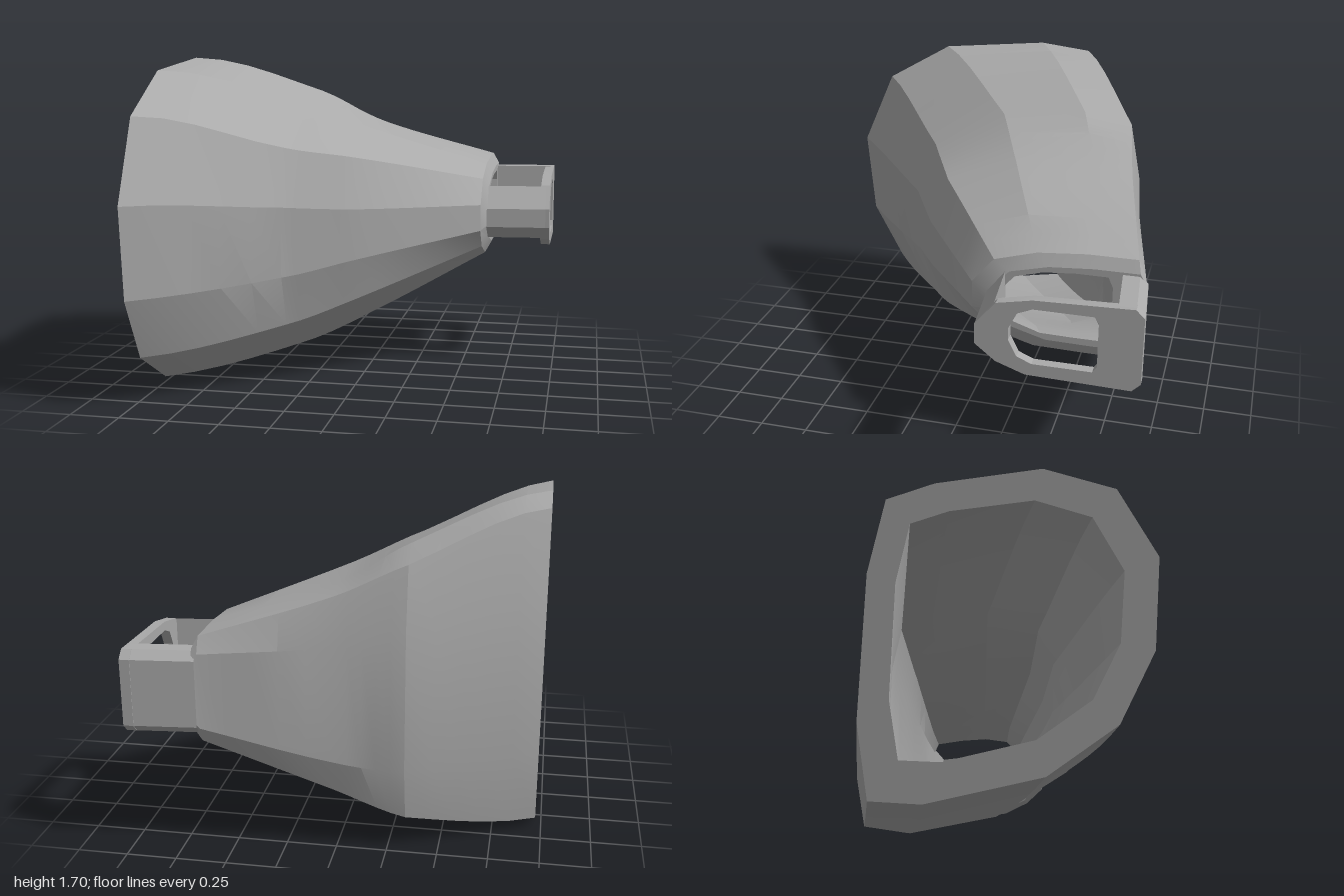
import * as THREE from 'three';
import { toCreasedNormals } from 'three/addons/utils/BufferGeometryUtils.js';

// Joins rings of [x, y, z] points into a skin; rings run top, front, bottom, back
function loft(rings, closed) {
  const pos = [];
  const count = closed ? rings.length : rings.length - 1;
  for (let i = 0; i < count; i++) {
    const r = rings[i], s = rings[(i + 1) % rings.length];
    for (let j = 0; j < r.length; j++) {
      const k = (j + 1) % r.length;
      pos.push(...r[j], ...r[k], ...s[k], ...r[j], ...s[k], ...s[j]);
    }
  }
  const g = new THREE.BufferGeometry();
  g.setAttribute('position', new THREE.Float32BufferAttribute(pos, 3));
  return toCreasedNormals(g, 0.25);
}

// Key cross-sections of the funnel as [z, y] corners
const KEYS = [
  { x: -0.97, p: [[-0.11, 1.7], [0.46, 1.64], [0.82, 1.43], [1, 1.02], [0.96, 0.56], [0.79, 0.24],
    [0.46, 0.05], [-0.11, 0], [-0.38, 0.05], [-0.46, 0.45], [-0.46, 1.25], [-0.38, 1.67]] },
  { x: -0.34, p: [[-0.48, 1.51], [-0.04, 1.46], [0.35, 1.25], [0.46, 0.96], [0.45, 0.6], [0.36, 0.335],
    [0, 0.15], [-0.48, 0.115], [-0.73, 0.18], [-0.79, 0.45], [-0.79, 1.15], [-0.73, 1.46]] },
  { x: 0, p: [[-0.6, 1.33], [-0.19, 1.32], [0.18, 1.19], [0.28, 0.935], [0.27, 0.67], [0.18, 0.45],
    [-0.19, 0.29], [-0.6, 0.28], [-0.79, 0.33], [-0.84, 0.5], [-0.84, 1.08], [-0.79, 1.31]] },
  { x: 0.61, p: [[-0.68, 1.13], [-0.44, 1.11], [-0.23, 1.05], [-0.12, 0.92], [-0.12, 0.78], [-0.22, 0.68],
    [-0.43, 0.61], [-0.68, 0.605], [-0.92, 0.605], [-0.955, 0.68], [-0.955, 1.05], [-0.92, 1.13]] },
];

// Section between keys k and k + 1: z runs straight, y follows a smooth curve
function section(k, t) {
  const a = KEYS[k], b = KEYS[k + 1], h = b.x - a.x;
  const slope = (n, j) => {
    if (n === 0) return 0;
    const lo = KEYS[n - 1], hi = KEYS[Math.min(n + 1, 3)];
    return (hi.p[j][1] - lo.p[j][1]) / (hi.x - lo.x);
  };
  return a.p.map(([z, y], j) => {
    const [z2, y2] = b.p[j], u = 1 - t;
    const yy = y * (1 + 2 * t) * u * u + y2 * t * t * (3 - 2 * t)
      + h * t * u * (slope(k, j) * u - slope(k + 1, j) * t);
    return [a.x + h * t, yy, z + (z2 - z) * t];
  });
}

// Shrinks a ring about the middle of its bounds
function inset(ring, s) {
  const mid = (c) => {
    const v = ring.map((q) => q[c]);
    return (Math.max(...v) + Math.min(...v)) / 2;
  };
  const my = mid(1), mz = mid(2);
  return ring.map(([x, y, z]) => [x, my + (y - my) * s, mz + (z - mz) * s]);
}

const at = (x, pts, dz = 0) => pts.map(([z, y]) => [x, y, z + dz]);

export function createModel() {
  const model = new THREE.Group();
  const grey = new THREE.MeshStandardMaterial({ color: 0xaaaaaa });
  grey.name = 'grey';
  const add = (name, geometry) => {
    const mesh = new THREE.Mesh(geometry, grey);
    mesh.name = name;
    model.add(mesh);
  };

  // Hollow funnel: outer skin, bevelled collar, then inner skin back to the mouth
  const outer = [];
  const STEPS = 5;
  for (let k = 0; k < 3; k++) {
    for (let i = 0; i < STEPS; i++) outer.push(section(k, i / STEPS));
  }
  outer.push(section(2, 1));
  const collar = outer[outer.length - 1].map(([, y, z]) =>
    [0.64, 0.865 + (y - 0.865) * 0.78, -0.97 + (z + 0.96) * 0.9]);
  const inner = outer.map((r) => inset(r, 0.78 - 0.13 * (r[0][0] + 0.97) / 1.58));
  inner.forEach((r) => r.forEach((q) => { if (q[0] > 0.6) q[0] = 0.64; }));
  add('funnel', loft([...outer, collar, ...inner.reverse()], true));

  // End plate with a rounded window
  const plate = [[-0.96, 1.06], [-0.5, 1.045], [-0.33, 1.01], [-0.23, 0.89], [-0.23, 0.79],
    [-0.33, 0.71], [-0.47, 0.66], [-0.96, 0.65], [-1, 0.69], [-1, 1.02]];
  const hole = [[-0.78, 1], [-0.5, 1], [-0.43, 0.97], [-0.39, 0.89], [-0.39, 0.83],
    [-0.43, 0.75], [-0.5, 0.72], [-0.78, 0.72], [-0.8, 0.75], [-0.8, 0.97]];
  add('endPlate', loft([at(0.92, plate), at(0.97, plate), at(0.97, hole), at(0.92, hole)], true));

  // Two bars joining the plate to the collar, open above and below
  const bars = {
    frontBar: [[-0.32, 1.005], [-0.23, 0.89], [-0.23, 0.79], [-0.32, 0.72]],
    backBar: [[-0.96, 1.06], [-0.88, 1.06], [-0.88, 0.65], [-0.96, 0.65], [-1, 0.69], [-1, 1.02]],
  };
  for (const [name, pts] of Object.entries(bars)) {
    add(name, loft([at(0.62, pts, 0.03), at(0.95, pts)], false));
  }
  return model;
}
